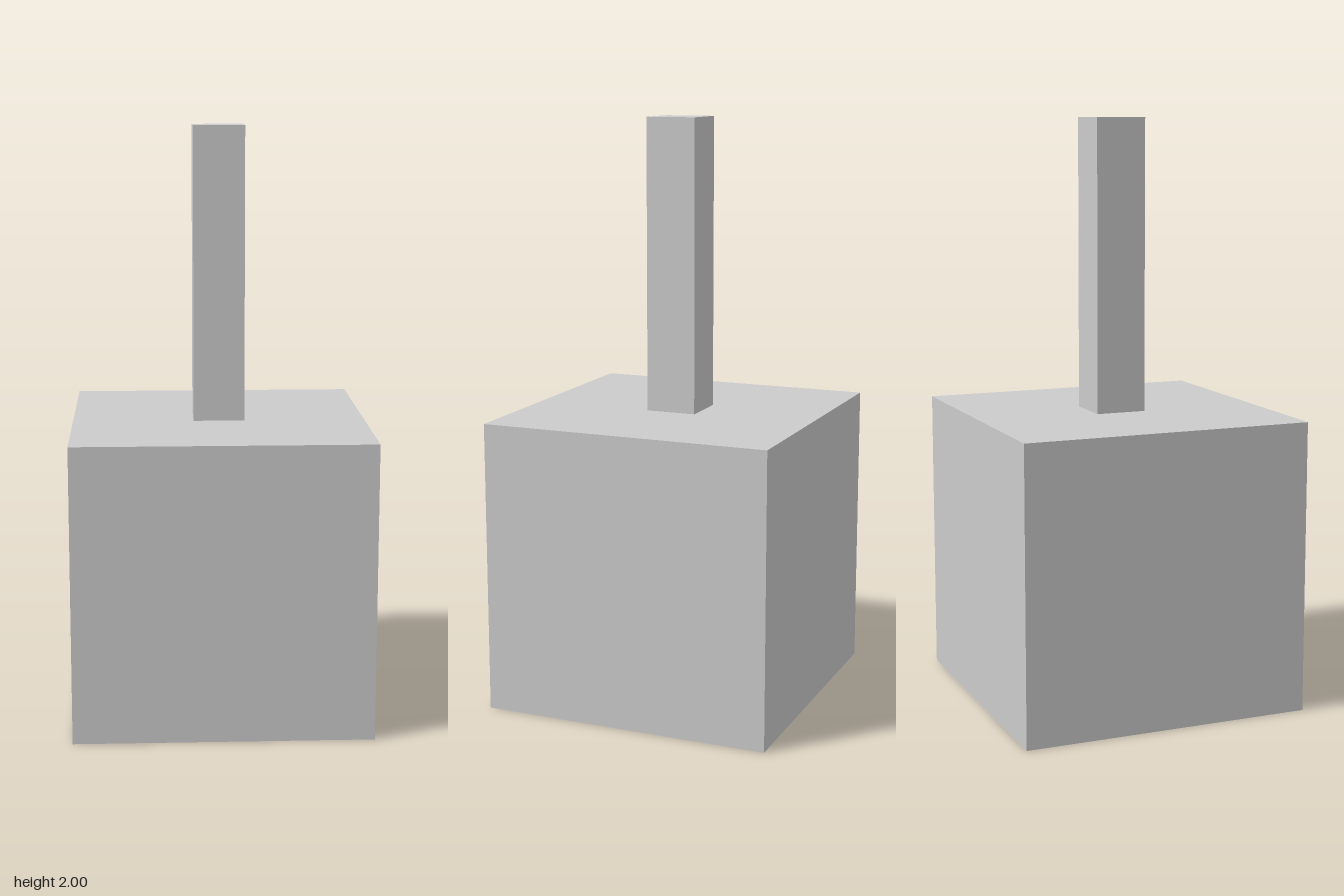
import * as THREE from 'three';

const material = new THREE.MeshStandardMaterial({ color: 0xcccccc, flatShading: true });

// Square block of a given width, standing on height y
function block(name, width, height, y) {
  const mesh = new THREE.Mesh(new THREE.BoxGeometry(width, height, width), material);
  mesh.name = name;
  mesh.position.y = y + height / 2;
  return mesh;
}

export function createModel() {
  const model = new THREE.Group();
  model.name = 'blockWithPost';
  model.add(
    block('base', 1, 1, 0), // cube at the bottom
    block('post', 0.174, 1, 1), // slim upright centred on top
  );
  return model;
}
